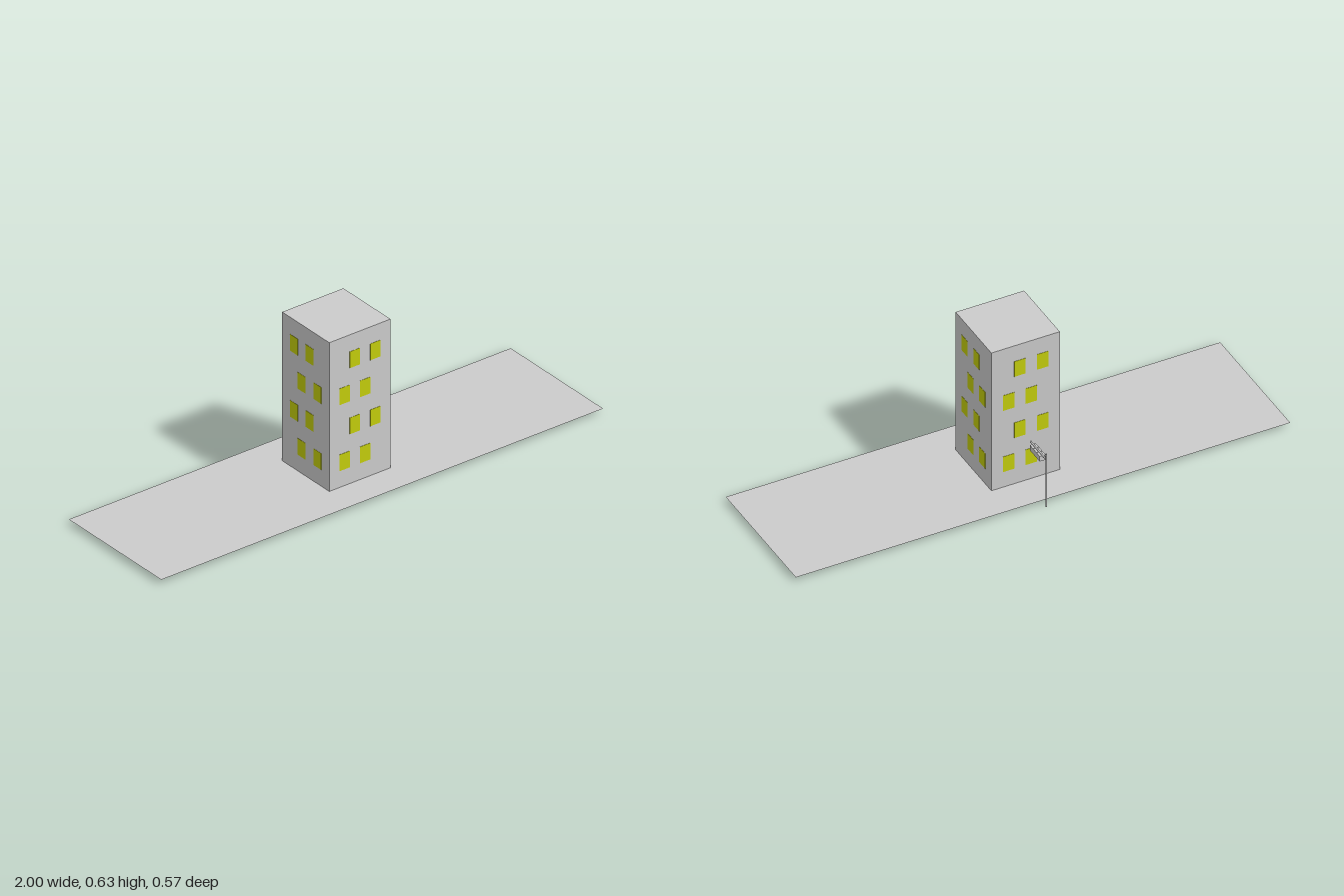
import * as THREE from 'three';

const concrete = new THREE.MeshStandardMaterial({ color: 0xcccccc });
concrete.name = 'concrete';
const slab = new THREE.MeshStandardMaterial({ color: 0xcccccc, side: THREE.DoubleSide });
slab.name = 'groundGrey';
const windowYellow = new THREE.MeshStandardMaterial({ color: 0xc4ce0c });
windowYellow.name = 'windowYellow';

const GROUND = 0.018;

function addMesh(parent, name, geometry, material, x, y, z) {
  const mesh = new THREE.Mesh(geometry, material);
  mesh.name = name;
  mesh.position.set(x, y, z);
  parent.add(mesh);
  return mesh;
}

// Tower block with four rows of staggered windows on each side
function createBuilding() {
  const building = new THREE.Group();
  building.name = 'building';
  const width = 0.277, height = 0.617, cell = width / 6;
  addMesh(building, 'tower', new THREE.BoxGeometry(width, height, width), concrete, 0, height / 2, 0);

  const pane = new THREE.BoxGeometry(cell, 0.068, 0.002);
  for (let side = 0; side < 4; side++) {
    const wall = new THREE.Group();
    wall.name = 'windowWall';
    wall.rotation.y = side * Math.PI / 2;
    for (let row = 0; row < 4; row++) {
      const shift = (row + side) % 2; // rows alternate, and so do neighbouring walls
      for (const column of [1, 3]) {
        const x = -width / 2 + (column + shift + 0.5) * cell;
        addMesh(wall, 'window', pane, windowYellow, x, 0.102 + row * 0.137, width / 2);
      }
    }
    building.add(wall);
  }
  building.position.set(0, GROUND, 0.0115);
  return building;
}

// Post behind the building with an arm and three hanging lamps
function createLampPost() {
  const post = new THREE.Group();
  post.name = 'lampPost';
  addMesh(post, 'pole', new THREE.CylinderGeometry(0.0034, 0.0034, 0.237, 12), concrete, 0, 0.1185, -0.281);
  const arm = addMesh(post, 'arm', new THREE.CylinderGeometry(0.0034, 0.0034, 0.12, 12), concrete, 0, 0.2125, -0.221);
  arm.rotation.x = Math.PI / 2;
  const lamp = new THREE.BoxGeometry(0.024, 0.023, 0.024);
  for (const z of [-0.189, -0.215, -0.2415]) {
    addMesh(post, 'lamp', lamp, concrete, 0, 0.1995, z);
  }
  post.position.x = -0.003;
  return post;
}

export function createModel() {
  const model = new THREE.Group();
  model.name = 'streetBlock';
  const ground = addMesh(model, 'ground', new THREE.PlaneGeometry(2, 0.543), slab, 0, GROUND, 0.0095);
  ground.rotation.x = -Math.PI / 2;
  model.add(createBuilding(), createLampPost());
  return model;
}
